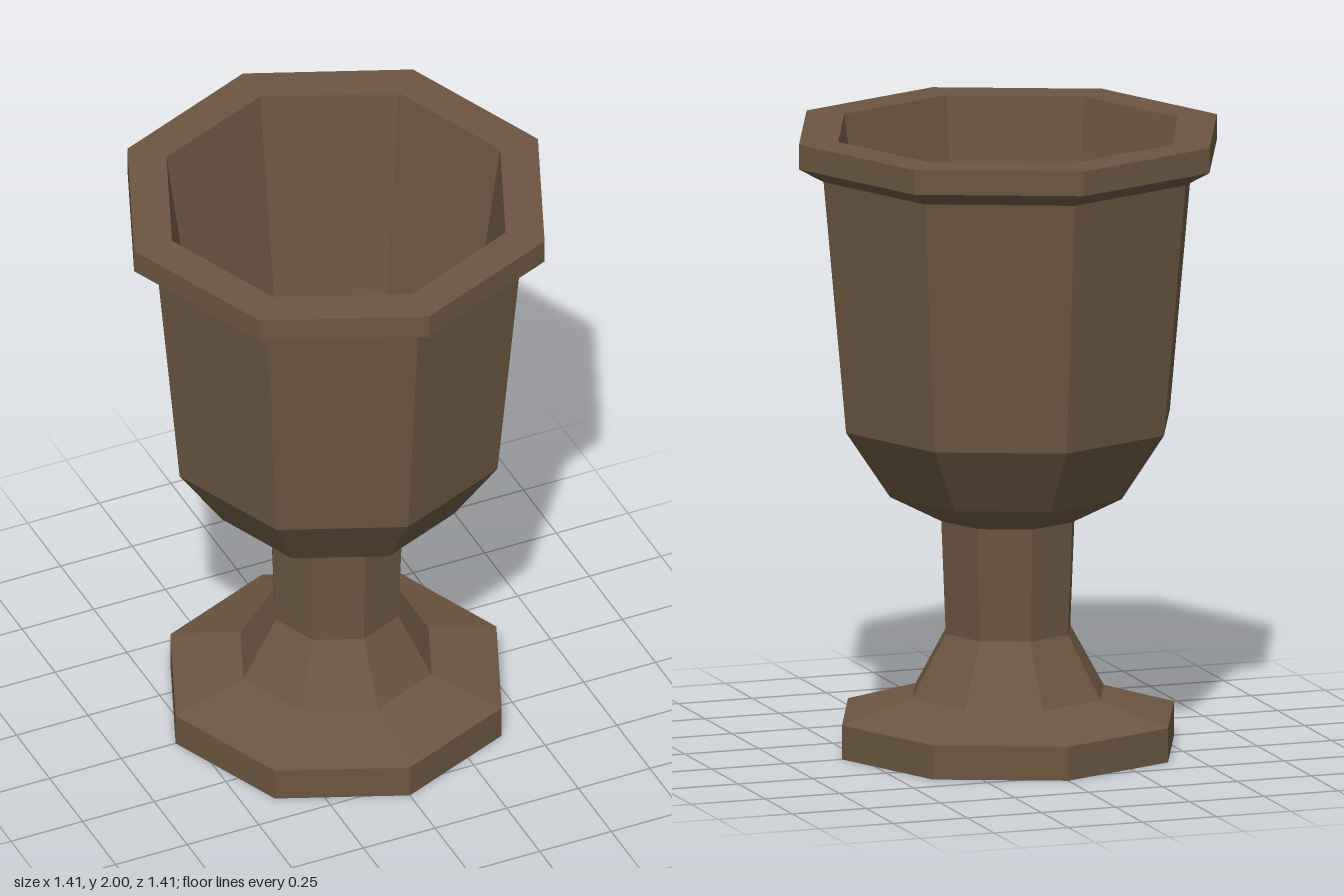
import * as THREE from 'three';

const wood = new THREE.MeshStandardMaterial({ color: 0x6b5640, roughness: 0.9, flatShading: true });

// Eight-sided turned part; profile points are [radius, height], with corners on the x and z axes
function turned(name, profile) {
  const points = profile.map(([r, y]) => new THREE.Vector2(r, y));
  const mesh = new THREE.Mesh(new THREE.LatheGeometry(points, 8), wood);
  mesh.name = name;
  return mesh;
}

export function createModel() {
  const goblet = new THREE.Group();
  goblet.name = 'goblet';

  // Foot: closed underside, upright edge, sloping top
  goblet.add(turned('foot', [[0, 0], [0.56, 0], [0.56, 0.11], [0.323, 0.18]]));

  // Stem: flared bottom, nearly straight neck
  goblet.add(turned('stem', [[0.323, 0.18], [0.21, 0.382], [0.225, 0.748]]));

  // Bowl: rounded underside and tall outer wall
  goblet.add(turned('bowl', [[0.225, 0.748], [0.398, 0.838], [0.546, 1.056], [0.622, 1.873]]));

  // Rim: overhanging lip with a flat top
  goblet.add(turned('rim', [[0.622, 1.873], [0.705, 1.92], [0.705, 2], [0.573, 2]]));

  // Inside of the bowl: tapering wall and shallow pointed floor
  goblet.add(turned('bowlInside', [[0.573, 2], [0.44, 1.07], [0, 0.87]]));

  return goblet;
}
